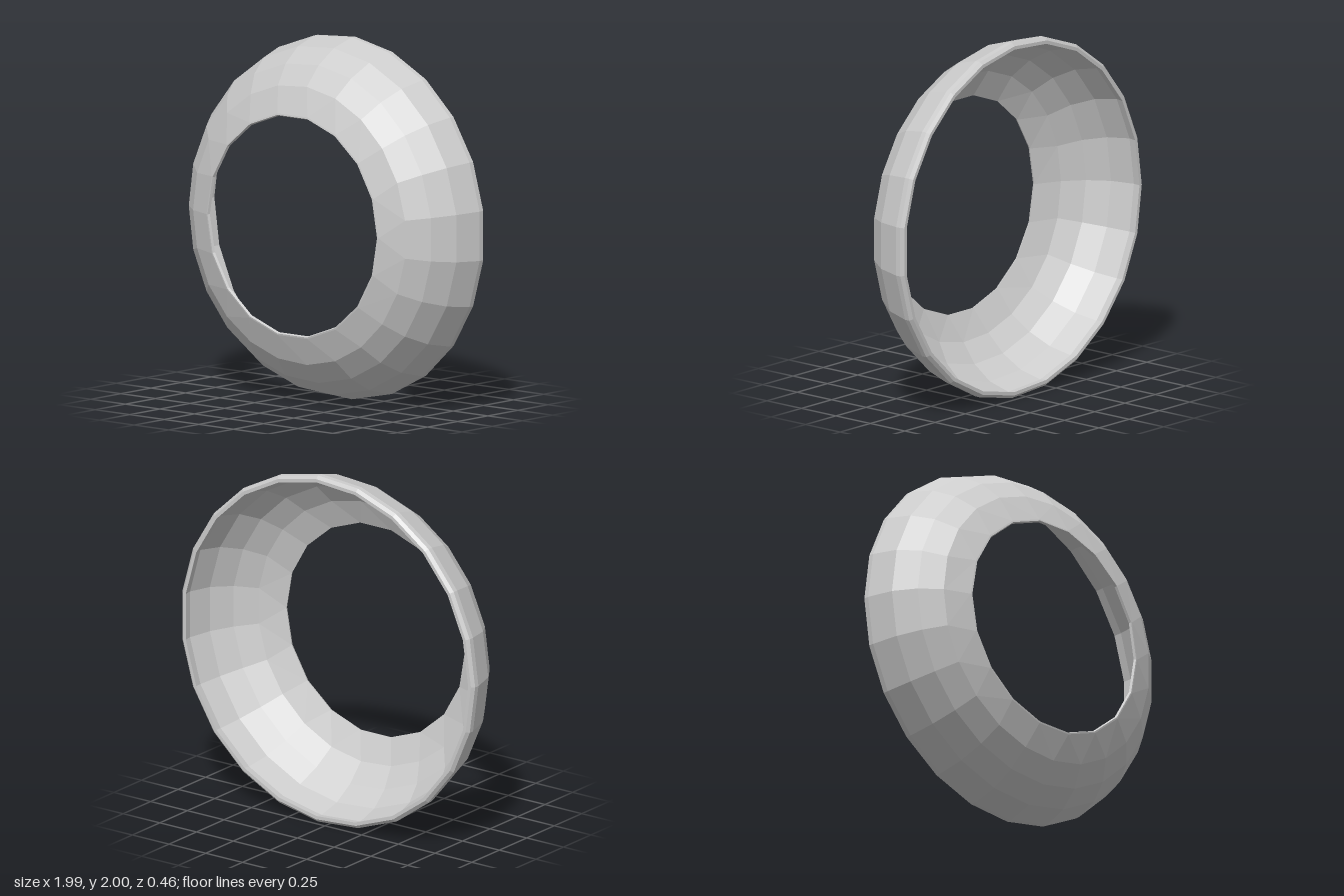
import * as THREE from 'three';

// Closed cross-section of the dished ring: [radius, z, number of sides].
const OUTER = 23, HOLE = 18;
const profile = [
  [0.985, -0.231, OUTER], // back rim, chamfered edge
  [1.002, -0.215, OUTER],
  [1.002, -0.185, OUTER],
  [0.96, -0.04, OUTER],   // convex outer shell
  [0.88, 0.08, OUTER],
  [0.77, 0.17, OUTER],
  [0.622, 0.229, HOLE],   // lip of the front opening
  [0.613, 0.231, HOLE],
  [0.607, 0.218, HOLE],
  [0.753, 0.152, OUTER],  // concave inner shell
  [0.86, 0.065, OUTER],
  [0.937, -0.05, OUTER],
  [0.972, -0.185, OUTER],
  [0.966, -0.231, OUTER], // inner edge of the back rim
];

// Point i of a ring, starting at the -x side
function ringPoint([radius, z, sides], i) {
  const a = Math.PI + (i % sides) / sides * Math.PI * 2;
  return [radius * Math.cos(a), radius * Math.sin(a), z];
}

// Joins two rings, which may have different numbers of sides
function stitch(a, b, out) {
  let i = 0, j = 0;
  while (i < a[2] || j < b[2]) {
    const stepA = i < a[2] && (j >= b[2] || (i + 1) / a[2] <= (j + 1) / b[2]);
    const next = stepA ? ringPoint(a, i + 1) : ringPoint(b, j + 1);
    out.push(...ringPoint(a, i), ...next, ...ringPoint(b, j));
    if (stepA) i++; else j++;
  }
}

export function createModel() {
  const group = new THREE.Group();
  group.name = 'dishedRing';

  const positions = [];
  profile.forEach((ring, k) => stitch(ring, profile[(k + 1) % profile.length], positions));
  const geometry = new THREE.BufferGeometry();
  geometry.setAttribute('position', new THREE.Float32BufferAttribute(positions, 3));
  geometry.computeVertexNormals();

  const shell = new THREE.Mesh(
    geometry,
    new THREE.MeshStandardMaterial({ color: 0xcccccc, flatShading: true })
  );
  shell.name = 'ringShell';
  shell.position.set(0.005, 1, 0);
  group.add(shell);
  return group;
}
